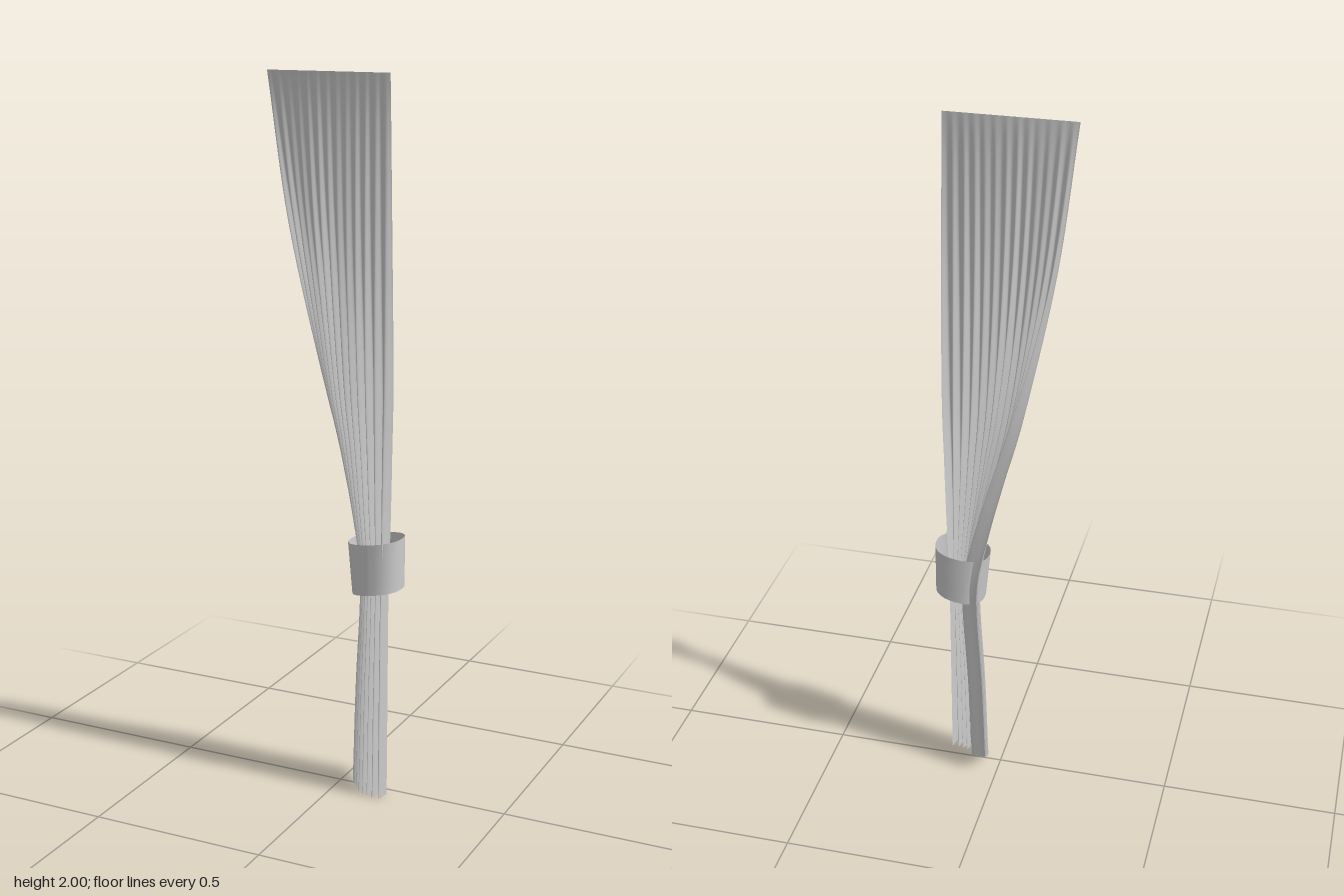
import * as THREE from 'three';

const material = new THREE.MeshStandardMaterial({ color: 0xcccccc, side: THREE.DoubleSide });
const rail = (points) =>
  new THREE.CatmullRomCurve3(points.map((p) => new THREE.Vector3(...p)), false, 'catmullrom', 0.5);

// Cloth edges from the rod down to the hem; both rails share the same heights
const backEdge = rail([
  [-0.19, 2, 0.05], [-0.145, 1.6, 0.022], [-0.07, 1.2, -0.018], [-0.02, 1, -0.036],
  [0.028, 0.8, -0.055], [0.052, 0.67, -0.062], [0.054, 0.55, -0.062], [0.04, 0.3, -0.066], [0.03, 0, -0.07],
]);
const frontEdge = rail([
  [0.163, 2, 0.05], [0.172, 1.6, 0.066], [0.174, 1.2, 0.07], [0.169, 1, 0.068],
  [0.164, 0.8, 0.066], [0.16, 0.67, 0.063], [0.158, 0.55, 0.064], [0.158, 0.3, 0.065], [0.158, 0, 0.066],
]);

const FOLDS = 12.5;

// Pleated cloth: each height is a bent line across, with folds pressed inwards
function makeCloth() {
  const across = 200, down = 56;
  const geometry = new THREE.PlaneGeometry(1, 1, across, down);
  const pos = geometry.attributes.position;
  for (let j = 0, n = 0; j <= down; j++) {
    const a = backEdge.getPoint(j / down), b = frontEdge.getPoint(j / down);
    const gather = THREE.MathUtils.clamp((0.05 - a.z) / 0.11, 0, 1);
    const corner = new THREE.Vector2((a.x + b.x) / 2, (a.z + b.z) / 2)
      .lerp(new THREE.Vector2(a.x - 0.008 * gather, b.z), gather);
    const line = new THREE.QuadraticBezierCurve(
      new THREE.Vector2(a.x, a.z), corner, new THREE.Vector2(b.x, b.z));
    for (let i = 0; i <= across; i++, n++) {
      const u = i / across;
      const p = line.getPoint(u), t = line.getTangent(u);
      // Uneven fold depth, vanishing at the rod
      const vary = 0.75 + 0.25 * Math.sin(u * 23 + 1) * Math.sin(u * 41);
      const depth = 0.045 * Math.pow(gather, 0.8) * vary * (1 - Math.cos(u * FOLDS * 2 * Math.PI)) / 2;
      // The hem hangs higher where the cloth is pulled back
      const lift = 0.06 * Math.pow(1 - u, 3) * Math.max(0, 1 - a.y / 0.6);
      pos.setXYZ(n, p.x + t.y * depth, a.y + lift, p.y - t.x * depth);
    }
  }
  geometry.computeVertexNormals();
  return geometry;
}

// Loose band around the gathered cloth, tilted and pinched at the upper left
function makeBand() {
  const geometry = new THREE.CylinderGeometry(1, 1, 0.145, 28, 4, true);
  const pos = geometry.attributes.position;
  const round = (v) => Math.sign(v) * Math.pow(Math.abs(v), 0.85);
  for (let i = 0; i < pos.count; i++) {
    const x = round(pos.getX(i)), y = pos.getY(i), z = round(pos.getZ(i));
    const pinch = Math.max(0, -x) * y * 0.1;
    pos.setXYZ(i, 0.113 + 0.074 * x - pinch, 0.672 + y + 0.011 * x, 0.003 + 0.066 * z);
  }
  geometry.computeVertexNormals();
  return geometry;
}

export function createModel() {
  const group = new THREE.Group();
  group.name = 'tiedCurtain';
  for (const [name, geometry] of [['curtainCloth', makeCloth()], ['tieBand', makeBand()]]) {
    const mesh = new THREE.Mesh(geometry, material);
    mesh.name = name;
    group.add(mesh);
  }
  return group;
}
